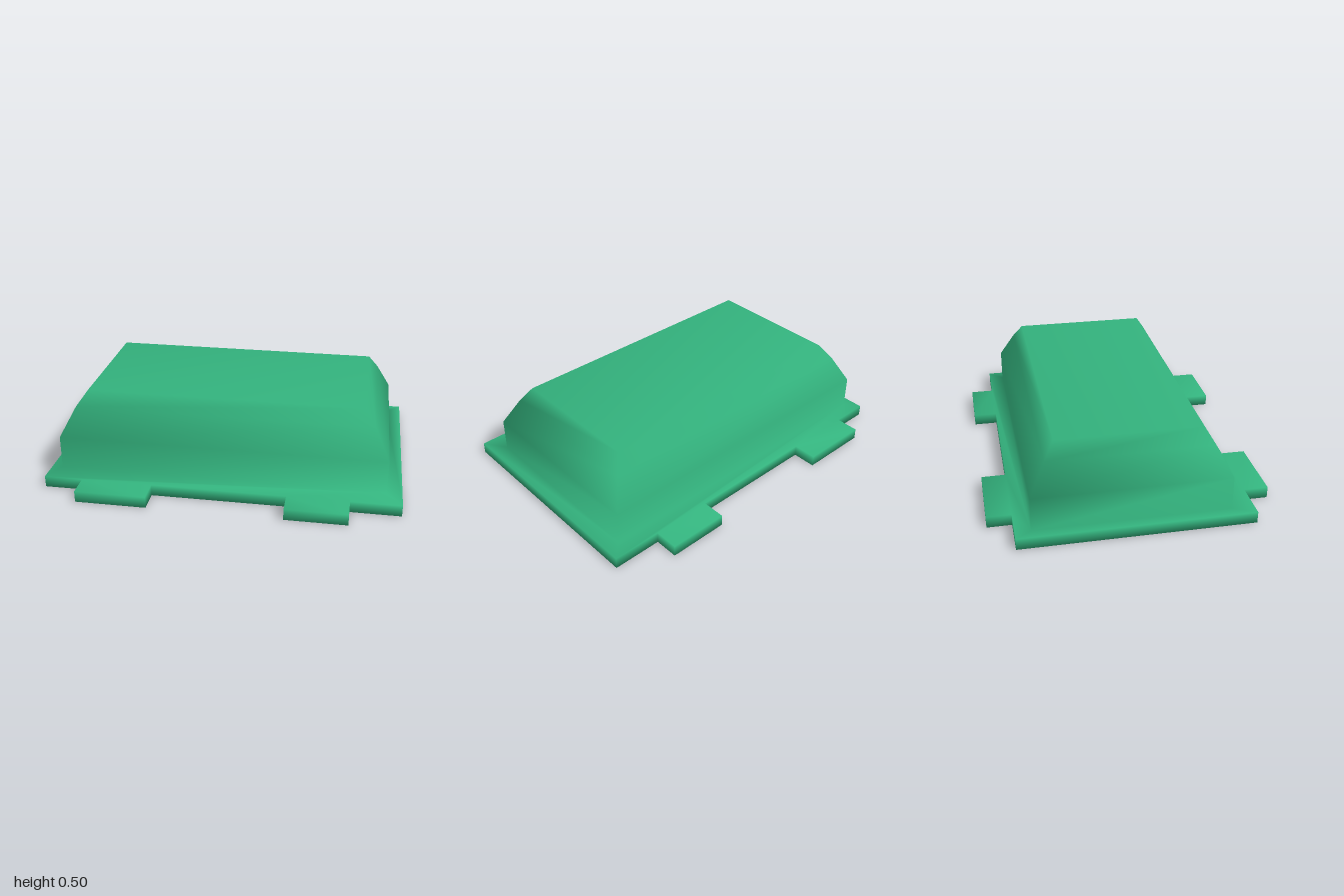
import * as THREE from 'three';

export function createModel() {
  const group = new THREE.Group();
  const material = new THREE.MeshStandardMaterial({ color: 0x33b27d });
  const positions = [];

  // adds a horizontal loop of [x, z] points at height y, counter-clockwise from above
  function ring(points, y) {
    const start = positions.length / 3;
    for (const [x, z] of points) positions.push(x, y, z);
    return { start, count: points.length, flat: points.map(([x, z]) => new THREE.Vector2(x, -z)) };
  }
  const rect = (x0, x1, z0, z1) => [[x0, z1], [x1, z1], [x1, z0], [x0, z0]];

  // wall between two loops
  function wall(lower, upper) {
    const out = [];
    for (let i = 0; i < lower.count; i++) {
      const j = (i + 1) % lower.count;
      const a = lower.start + i, b = lower.start + j;
      const c = upper.start + j, d = upper.start + i;
      out.push(a, b, c, a, c, d);
    }
    return out;
  }

  // horizontal cap, optionally with a hole
  function cap(outer, hole, down = false) {
    const ids = [outer, hole].filter(Boolean)
      .flatMap((r) => Array.from({ length: r.count }, (_, i) => r.start + i));
    return THREE.ShapeUtils.triangulateShape(outer.flat, hole ? [hole.flat] : [])
      .flatMap(([a, b, c]) => (down ? [ids[a], ids[c], ids[b]] : [ids[a], ids[b], ids[c]]));
  }

  // flange outline: a rectangle with two mounting tabs front and back
  const tabs = [-0.78, -0.38, 0.375, 0.72];
  const edge = (s) => [
    [-1, 0.64 * s],
    ...tabs.flatMap((x, i) => {
      const inner = [x, 0.64 * s], outer = [x, 0.775 * s];
      return i % 2 ? [outer, inner] : [inner, outer];
    }),
    [1, 0.64 * s],
  ];
  const outline = [...edge(1), ...edge(-1).reverse()];
  const bottom = ring(outline, 0);
  const top = ring(outline, 0.065);

  // housing cross-sections from the flange up to the roof
  const levels = [
    ring(rect(-0.94, 0.915, -0.555, 0.515), 0.065),
    ring(rect(-0.94, 0.915, -0.555, 0.515), 0.255),
    ring(rect(-0.86, 0.833, -0.468, 0.432), 0.415),
    ring(rect(-0.8, 0.775, -0.412, 0.376), 0.5),
  ];

  const flange = [...cap(bottom, null, true), ...wall(bottom, top), ...cap(top, levels[0])];
  const housing = cap(levels[3]);
  for (let i = 0; i < 3; i++) housing.push(...wall(levels[i], levels[i + 1]));

  // smooth normals run across the seam between flange and housing
  const whole = new THREE.BufferGeometry();
  whole.setAttribute('position', new THREE.Float32BufferAttribute(positions, 3));
  whole.setIndex([...flange, ...housing]);
  whole.computeVertexNormals();

  for (const [name, index] of [['flange', flange], ['housing', housing]]) {
    const part = whole.clone();
    part.setIndex(index);
    const mesh = new THREE.Mesh(part.toNonIndexed(), material);
    mesh.name = name;
    group.add(mesh);
  }
  return group;
}
